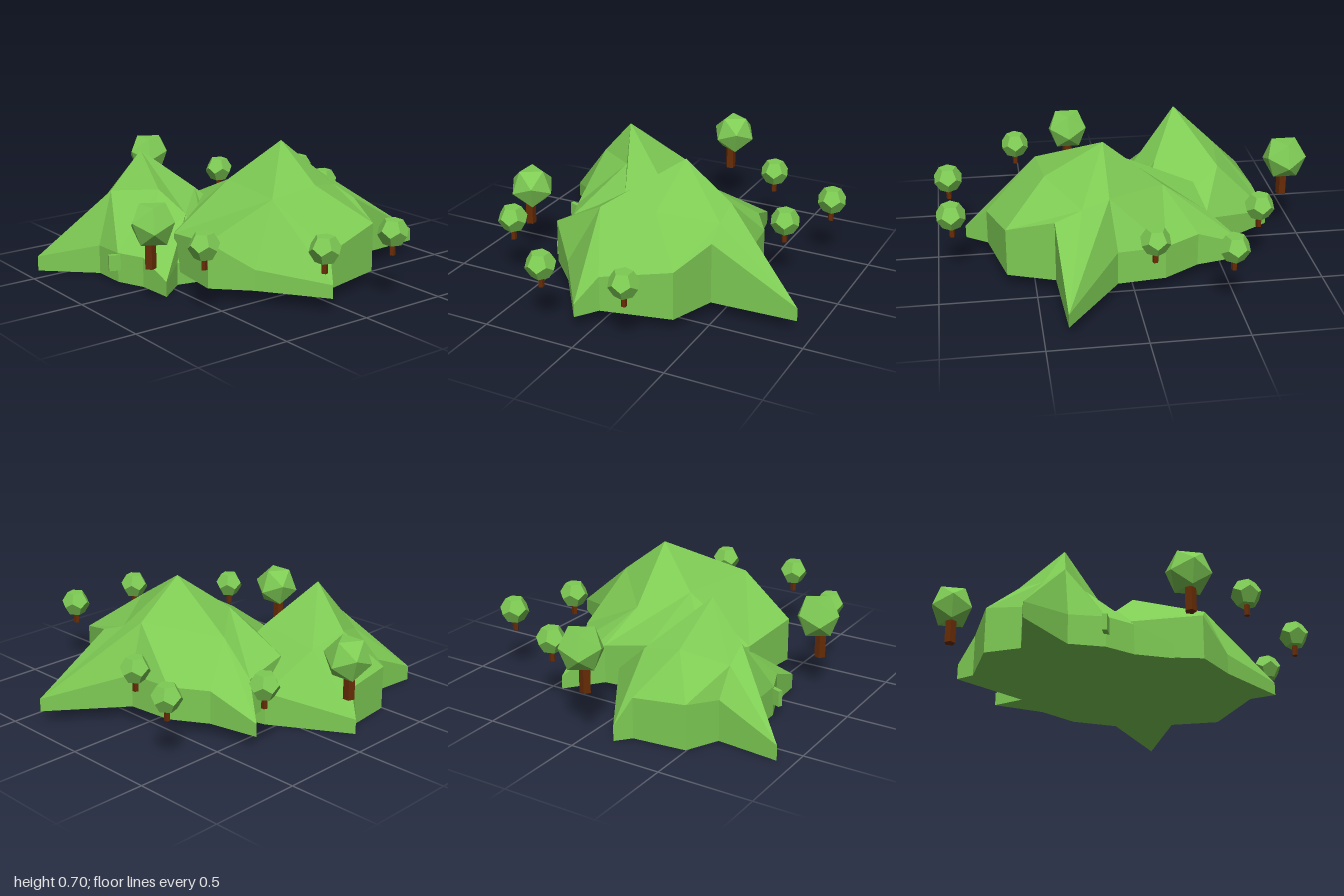
import * as THREE from 'three';

const material = (name, color) => {
  const m = new THREE.MeshStandardMaterial({ color, flatShading: true });
  m.name = name;
  return m;
};

// Faceted hill: vertical wall from base to rim, slopes to shoulders, then a peak.
// Each column is [rim x, rim z, rim y, shoulder index], anticlockwise from above.
function hillGeometry(baseY, peak, shoulders, columns) {
  const pos = [];
  const tri = (...pts) => pts.forEach((p) => pos.push(...p));
  const centre = [peak[0], baseY, peak[2]];
  columns.forEach((c, i) => {
    const d = columns[(i + 1) % columns.length];
    const a0 = [c[0], baseY, c[1]], b0 = [d[0], baseY, d[1]];
    const a1 = [c[0], c[2], c[1]], b1 = [d[0], d[2], d[1]];
    const a2 = shoulders[c[3]], b2 = shoulders[d[3]];
    tri(a0, b0, b1);
    tri(a0, b1, a1);
    tri(a1, b1, b2);
    if (a2 !== b2) {
      tri(a1, b2, a2);
      tri(a2, b2, peak);
    }
    tri(b0, a0, centre);
  });
  const g = new THREE.BufferGeometry();
  g.setAttribute('position', new THREE.Float32BufferAttribute(pos, 3));
  g.computeVertexNormals();
  return g;
}

export function createModel() {
  const model = new THREE.Group();
  const green = material('leafGreen', 0x7ecb54);
  const brown = material('barkBrown', 0x672c06);

  const add = (parent, name, geometry, mat, x = 0, y = 0, z = 0) => {
    const mesh = new THREE.Mesh(geometry, mat);
    mesh.name = name;
    mesh.position.set(x, y, z);
    parent.add(mesh);
    return mesh;
  };

  // Large rear hill
  add(model, 'largeHill', hillGeometry(0.07, [0.12, 0.705, -0.18],
    [
      [0.45, 0.5, 0.145], [0.425, 0.52, -0.16], [0.26, 0.45, -0.44],
      [0.12, 0.505, -0.44], [-0.2, 0.43, -0.15], [-0.02, 0.5, 0.07],
    ],
    [
      [0.845, 0.08, 0.14, 0], [0.73, 0, 0.26, 0], [0.645, -0.37, 0.33, 1],
      [0.4, -0.46, 0.4, 2], [0.38, -0.92, 0.14, 2], [0.09, -0.54, 0.25, 3],
      [-0.16, -0.515, 0.25, 3], [-0.35, -0.4, 0.25, 4], [-0.62, -0.345, 0.14, 4],
      [-0.435, -0.2, 0.28, 4], [-0.41, 0.06, 0.33, 5], [-0.2, 0.27, 0.25, 5],
      [-0.01, 0.43, 0.265, 5], [0.35, 0.475, 0.31, 0], [0.52, 0.31, 0.18, 0],
    ]), green);

  // Small front hill
  add(model, 'smallHill', hillGeometry(0, [-0.355, 0.645, 0.405],
    [
      [-0.09, 0.33, 0.3], [-0.21, 0.43, 0.155], [-0.56, 0.385, 0.135],
      [-0.58, 0.435, 0.355], [-0.48, 0.365, 0.58], [-0.375, 0.445, 0.585],
      [-0.24, 0.445, 0.37],
    ],
    [
      [0.165, 0.6, 0.08, 0], [0.045, 0.45, 0.12, 0], [0.085, 0.27, 0.08, 0],
      [-0.05, 0.14, 0.15, 1], [-0.04, -0.21, 0.08, 1], [-0.45, -0.1, 0.18, 2],
      [-0.855, 0.145, 0.08, 2], [-0.78, 0.21, 0.22, 3], [-0.75, 0.495, 0.24, 3],
      [-0.58, 0.58, 0.22, 4], [-0.61, 0.915, 0.08, 4], [-0.37, 0.67, 0.155, 5],
      [-0.185, 0.67, 0.16, 5], [-0.035, 0.61, 0.16, 6],
    ]), green);

  // Small block set into the front slope
  const block = add(model, 'frontBlock', new THREE.BoxGeometry(0.025, 0.085, 0.09),
    green, -0.185, 0.11, 0.675);
  block.rotation.y = -0.35;

  // Large crowns rest on a triangular face, small ones on a pentagonal face
  const largeCrown = new THREE.IcosahedronGeometry(0.123)
    .rotateY(-Math.PI / 4).rotateX(-Math.atan(Math.SQRT2)).rotateY(0.659);
  const smallCrown = new THREE.DodecahedronGeometry(0.079)
    .rotateX(-Math.atan(2 / (1 + Math.sqrt(5))));
  const largeTrunk = new THREE.CylinderGeometry(0.03, 0.03, 0.16, 5);
  const smallTrunk = new THREE.CylinderGeometry(0.016, 0.016, 0.08, 5);

  const addTree = (name, x, y, z, crown, trunk, crownY, trunkY, trunkZ) => {
    const tree = new THREE.Group();
    tree.name = name;
    tree.position.set(x, y, z);
    add(tree, 'crown', crown, green, 0, crownY, 0);
    add(tree, 'trunk', trunk, brown, 0, trunkY, trunkZ);
    model.add(tree);
  };

  // Ring of floating trees
  [[-0.9, 0.253, 0], [0.22, 0.195, 0.71]].forEach(([x, y, z]) =>
    addTree('largeTree', x, y, z, largeCrown, largeTrunk, 0.223, 0.08, 0.02));
  [
    [-0.45, -0.785], [-0.08, -0.66], [-0.68, -0.355],
    [0.915, -0.245], [0.925, 0.21], [0.535, 0.63],
  ].forEach(([x, z]) =>
    addTree('smallTree', x, 0.25, z, smallCrown, smallTrunk, 0.12, 0.04, 0));

  return model;
}
